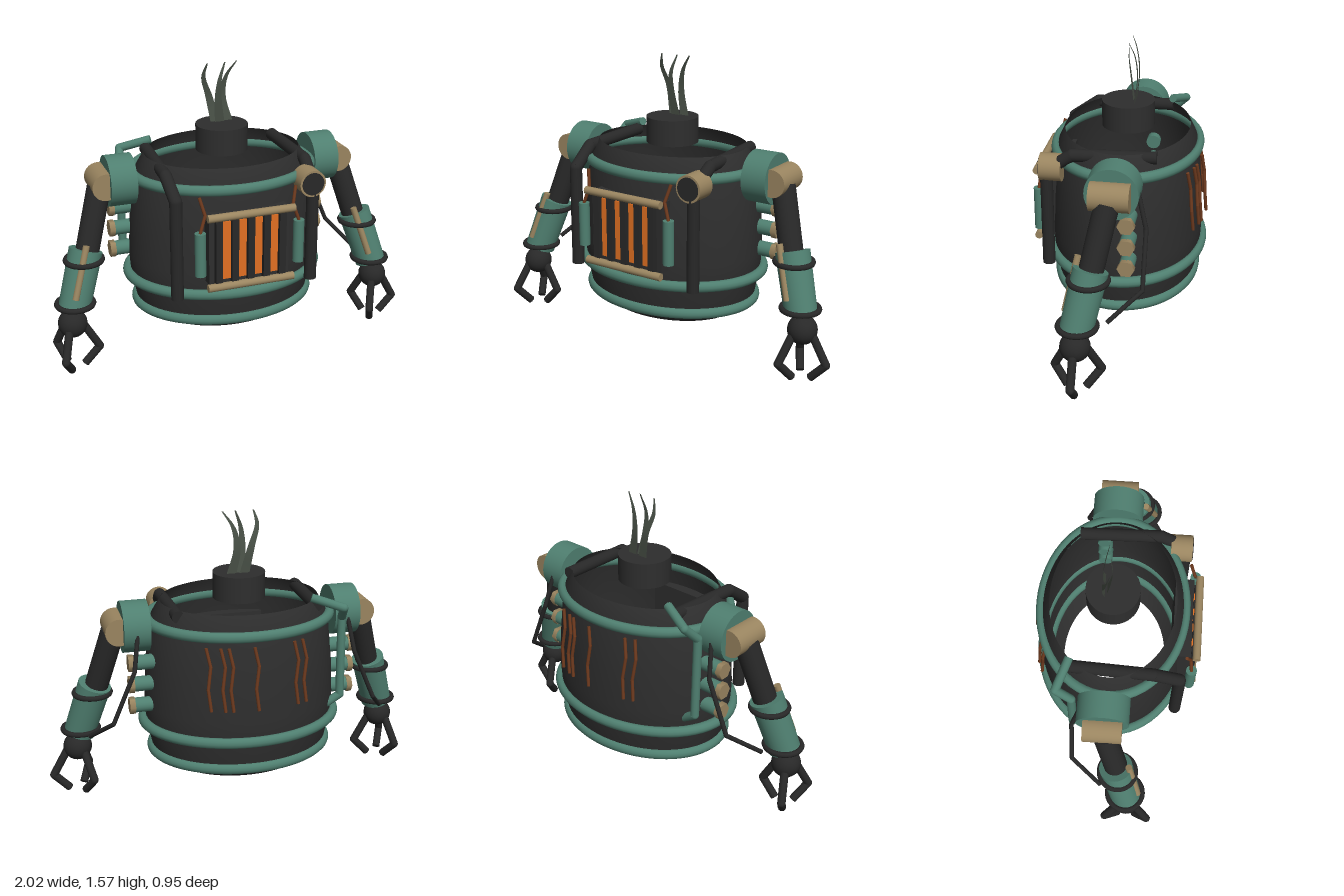
import * as THREE from 'three';

const mat = (name, color, side = THREE.FrontSide) => {
  const m = new THREE.MeshStandardMaterial({ color, side });
  m.name = name;
  return m;
};
const V = (x, y, z) => new THREE.Vector3(x, y, z);

export function createModel() {
  const iron = mat('iron', 0x2e2e2e, THREE.DoubleSide);
  const soot = mat('soot', 0x282828);
  const teal = mat('teal', 0x4f7f70);
  const brass = mat('brass', 0x9a8560);
  const glow = mat('glow', 0xe27022);
  const rust = mat('rust', 0x6e3a1e);
  const smoke = mat('smoke', 0x4a5248, THREE.DoubleSide);

  const root = new THREE.Group();
  root.name = 'boilerRobot';
  // whole figure is turned slightly about the vertical
  const turned = new THREE.Group();
  turned.name = 'turnedBody';
  turned.rotation.y = -0.17;
  turned.position.set(-0.005, 0, -0.035);
  root.add(turned);

  const add = (name, geo, material, pos = [0, 0, 0], parent = turned) => {
    const m = new THREE.Mesh(geo, material);
    m.name = name;
    m.position.set(...pos);
    parent.add(m);
    return m;
  };
  // straight cylinder between two points
  const rod = (name, a, b, r0, r1, material, parent = turned, sides = 20) => {
    const d = b.clone().sub(a);
    const m = add(name, new THREE.CylinderGeometry(r1, r0, d.length(), sides), material,
      a.clone().add(b).multiplyScalar(0.5).toArray(), parent);
    m.quaternion.setFromUnitVectors(V(0, 1, 0), d.normalize());
  };
  // bent pipe: straight runs joined by balls
  const pipe = (name, pts, r, material, parent = turned, sides = 12) => {
    const g = new THREE.Group();
    g.name = name;
    parent.add(g);
    pts.forEach((p, i) => {
      if (i === 0) return;
      rod(name + 'Run', pts[i - 1], p, r, r, material, g, sides);
      if (i < pts.length - 1) add(name + 'Joint', new THREE.SphereGeometry(r, sides, 8), material, p.toArray(), g);
    });
  };

  // open oval barrel
  const oval = 0.78;
  const profile = [[0.385, 0.193], [0.47, 0.25], [0.485, 0.285], [0.515, 0.44], [0.522, 0.55],
    [0.512, 0.75], [0.485, 1.01], [0.425, 1.11]].map(p => new THREE.Vector2(...p));
  add('barrel', new THREE.LatheGeometry(profile, 64), iron).scale.z = oval;
  for (const [r, y] of [[0.485, 0.274], [0.53, 0.44], [0.492, 1.01]]) {
    const ring = new THREE.TorusGeometry(r, 0.029, 12, 64).rotateX(Math.PI / 2);
    add('barrelRing', ring, teal, [0, y, 0]).scale.z = oval;
  }

  // chimney and smoke wisps
  add('chimney', new THREE.CylinderGeometry(0.14, 0.14, 0.14, 40), iron, [0, 1.175, 0]);
  const wisps = [
    [V(-0.02, 1.24, -0.04), V(-0.055, 1.39, -0.05), V(-0.09, 1.5, -0.03), V(-0.075, 1.572, -0.01)],
    [V(0.0, 1.24, -0.03), V(-0.015, 1.38, -0.01), V(-0.01, 1.48, 0), V(0.022, 1.572, -0.01)],
    [V(0.05, 1.24, -0.04), V(0.022, 1.38, -0.05), V(0.04, 1.49, -0.04), V(0.092, 1.572, -0.02)]];
  for (const pts of wisps) {
    const curve = new THREE.CatmullRomCurve3(pts);
    const geo = new THREE.PlaneGeometry(1, 1, 1, 14);
    const pos = geo.attributes.position;
    for (let i = 0; i < pos.count; i++) {
      const t = Math.min(1, Math.max(0, pos.getY(i) + 0.5));
      const p = curve.getPoint(t);
      pos.setXYZ(i, p.x + pos.getX(i) * (0.046 * (1 - t) + 0.008), p.y, p.z);
    }
    geo.computeVertexNormals();
    add('smokeWisp', geo, smoke);
  }

  // furnace grille
  add('grilleBox', new THREE.BoxGeometry(0.44, 0.38, 0.1), iron, [0, 0.708, 0.375]);
  add('grilleFire', new THREE.BoxGeometry(0.35, 0.32, 0.008), glow, [0, 0.706, 0.429]);
  for (let i = -2; i <= 2; i++)
    add('grilleBar', new THREE.BoxGeometry(0.037, 0.37, 0.03), soot, [i * 0.087, 0.708, 0.442]);
  for (const y of [0.516, 0.902])
    rod('grilleRail', V(-0.237, y, 0.455), V(0.237, y, 0.455), 0.021, 0.021, brass);

  for (const s of [-1, 1]) {
    // canisters and wires beside the grille
    rod('canister', V(s * 0.27, 0.587, 0.435), V(s * 0.27, 0.822, 0.435), 0.029, 0.029, teal);
    pipe('rustyWire', [V(s * 0.27, 0.82, 0.435), V(s * 0.24, 0.91, 0.425), V(s * 0.262, 1.0, 0.4)], 0.009, rust, turned, 8);

    // thick pipe running over the rim and down the front
    pipe('steamPipe', [V(s * 0.375, 0.44, 0.368), V(s * 0.375, 0.98, 0.368),
      V(s * 0.385, 1.075, 0.23), V(s * 0.37, 1.083, -0.2)], 0.033, soot, turned, 16);

    // side cylinders with hexagonal caps
    for (const y of [0.572, 0.692, 0.812]) {
      rod('sideCylinder', V(s * 0.44, y, -0.08), V(s * 0.6, y, -0.08), 0.04, 0.04, teal);
      rod('hexCap', V(s * 0.59, y, -0.08), V(s * 0.62, y, -0.08), 0.046, 0.046, brass, turned, 6);
    }

    // arm
    const arm = new THREE.Group();
    arm.name = s > 0 ? 'leftArm' : 'rightArm';
    turned.add(arm);
    const P = (u, y, w) => V(s * u, y, w);
    rod('shoulder', P(0.5, 0.993, -0.012), P(0.64, 0.993, -0.012), 0.136, 0.136, teal, arm, 36);
    rod('shoulderPin', P(0.66, 0.994, -0.11), P(0.66, 0.994, 0.09), 0.073, 0.073, brass, arm, 28);
    rod('upperArm', P(0.68, 0.97, 0), P(0.78, 0.62, 0.07), 0.063, 0.063, soot, arm);
    const top = P(0.78, 0.655, 0.065), wrist = P(0.87, 0.36, 0.125);
    rod('forearm', top, wrist, 0.09, 0.085, teal, arm, 28);
    const along = t => top.clone().lerp(wrist, t);
    for (const t of [0.17, 0.93]) {
      const ring = new THREE.TorusGeometry(0.096, 0.015, 8, 32).rotateX(Math.PI / 2);
      add('forearmBand', ring, soot, along(t).toArray(), arm);
    }
    const shift = V(-0.025, 0, 0.08);
    rod('forearmRod', along(-0.17).add(shift), along(0.75).add(shift), 0.018, 0.018, brass, arm, 12);

    // hand with three bent fingers, set the same way round on both arms
    const h = P(0.885, 0.272, 0.13);
    add('wristBall', new THREE.SphereGeometry(0.078, 24, 16), soot, h.toArray(), arm);
    for (let i = 0; i < 3; i++) {
      const a = i * Math.PI * 2 / 3;
      const F = (r, y) => V(h.x + Math.cos(a) * r, y, h.z + Math.sin(a) * r);
      pipe('finger', [F(0.06, 0.25), F(0.14, 0.108), F(0.055, 0.018)], 0.022, soot, arm, 10);
    }

    // hanging cable behind the arm
    pipe('cable', [P(0.56, 1.05, -0.12), P(0.6, 0.8, -0.18), P(0.72, 0.52, -0.18), P(0.83, 0.39, -0.02)],
      0.012, soot, arm, 8);
  }

  // pressure gauge
  rod('gaugeCase', V(0.362, 0.993, 0.285), V(0.362, 0.993, 0.4), 0.072, 0.072, brass, turned, 32);
  rod('gaugeFace', V(0.362, 0.993, 0.398), V(0.362, 0.993, 0.404), 0.061, 0.061, soot, turned, 32);

  // bracket pipe at the rear right
  pipe('bracketPipe', [V(-0.34, 1.13, -0.2), V(-0.5, 1.08, -0.26), V(-0.52, 1.0, -0.18),
    V(-0.52, 0.56, -0.19), V(-0.43, 0.5, -0.18)], 0.023, teal);

  // rusty streaks standing off the back
  for (const u of [0.25, 0.18, 0.14, 0.01, -0.21, -0.26]) {
    const at = (du, y, r) => V(u + du, y, -0.79 * Math.sqrt(r * r - u * u));
    pipe('rustStreak', [at(0.012, 0.96, 0.505), at(-0.008, 0.86, 0.523),
      at(0.008, 0.74, 0.534), at(-0.005, 0.625, 0.545)], 0.009, rust, turned, 8);
  }
  return root;
}
